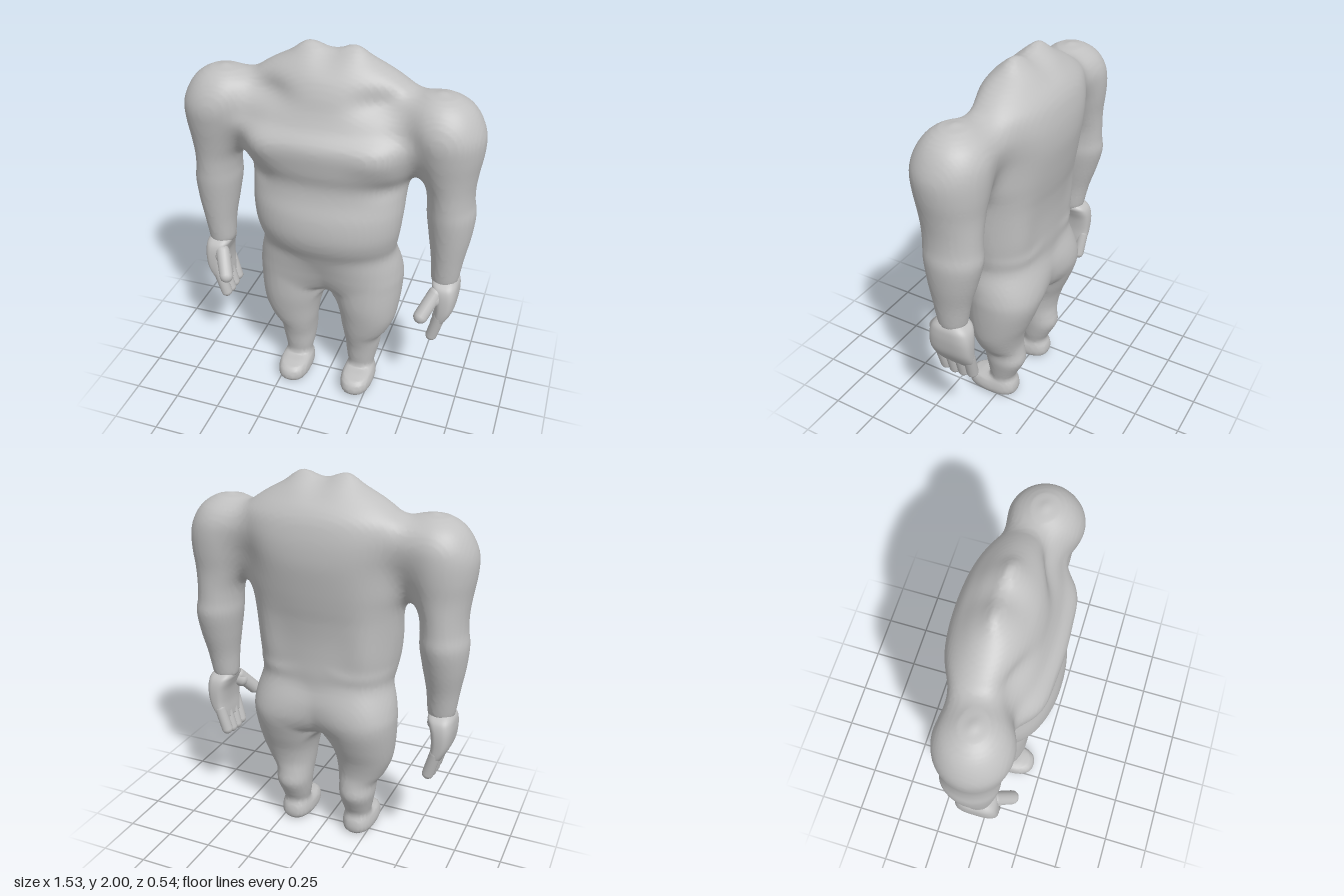
import * as THREE from 'three';

const SIDES = 40;
const STEPS = 5;

// Smooth interpolation between four neighbouring values
function blend(a, b, c, d, t) {
  return 0.5 * (2 * b + (c - a) * t + (2 * a - 5 * b + 4 * c - d) * t * t + (3 * b - a - 3 * c + d) * t * t * t);
}

// Refine a stack of sections [y, centre x, half width, front z, back z], given from bottom to top
function refine(sections) {
  const rows = [];
  const at = (i) => sections[Math.min(Math.max(i, 0), sections.length - 1)];
  for (let i = 0; i < sections.length - 1; i++) {
    for (let s = 0; s < STEPS; s++) {
      rows.push(at(i).map((_, k) => blend(at(i - 1)[k], at(i)[k], at(i + 1)[k], at(i + 2)[k], s / STEPS)));
    }
  }
  rows.push(at(sections.length - 1));
  return rows;
}

function buildGeometry(positions, index) {
  const g = new THREE.BufferGeometry();
  g.setAttribute('position', new THREE.Float32BufferAttribute(positions, 3));
  g.setIndex(index);
  g.computeVertexNormals();
  return g;
}

// Skin a stack of sections directly
function loft(sections, power) {
  const rows = refine(sections);
  const positions = [], index = [];
  const curve = (v) => Math.sign(v) * Math.abs(v) ** (2 / power);
  for (const [y, cx, w, front, back] of rows) {
    for (let j = 0; j < SIDES; j++) {
      const t = (j / SIDES) * Math.PI * 2;
      positions.push(cx + w * curve(Math.cos(t)), y, (front + back) / 2 + ((front - back) / 2) * curve(Math.sin(t)));
    }
  }
  const n = rows.length * SIDES, last = n - SIDES;
  for (const r of [rows[0], rows[rows.length - 1]]) positions.push(r[1], r[0], (r[3] + r[4]) / 2);
  for (let j = 0; j < SIDES; j++) {
    const k = (j + 1) % SIDES;
    for (let a = j, b = k; a < last; a += SIDES, b += SIDES) {
      index.push(a, a + SIDES, b, b, a + SIDES, b + SIDES);
    }
    index.push(n, j, k, n + 1, last + k, last + j);
  }
  return buildGeometry(positions, index);
}

// Signed distance to a stack of sections: negative inside
function distanceTo(sections, power) {
  const rows = refine(sections);
  const bottom = rows[0][0], top = rows[rows.length - 1][0];
  return (x, y, z) => {
    const h = Math.min(Math.max(y, bottom), top);
    let i = 1;
    while (i < rows.length - 1 && rows[i][0] < h) i++;
    const t = (h - rows[i - 1][0]) / (rows[i][0] - rows[i - 1][0]);
    const [, cx, w, front, back] = rows[i].map((v, k) => THREE.MathUtils.lerp(rows[i - 1][k], v, t));
    const dx = Math.abs(x - cx) + 1e-5, dz = Math.abs(z - (front + back) / 2);
    const r = ((dx / w) ** power + (dz / ((front - back) / 2)) ** power) ** (1 / power);
    return Math.max(Math.hypot(dx, dz) * (1 - 1 / r), y - top, bottom - y);
  };
}

// Union of two distances with a soft fillet
function softMin(a, b, k) {
  const h = Math.max(k - Math.abs(a - b), 0) / k;
  return Math.min(a, b) - h * h * k * 0.25;
}

// Smooth skin over the zero level of a distance field: one vertex per crossed cell
function skinField(field, min, size, step) {
  const n = size.map((s) => Math.ceil(s / step) + 1);
  const stride = [1, n[0], n[0] * n[1]];
  const values = new Float32Array(n[0] * n[1] * n[2]);
  const point = (id) => [id % n[0], Math.floor(id / n[0]) % n[1], Math.floor(id / stride[2])];
  for (let id = 0; id < values.length; id++) {
    values[id] = field(...point(id).map((v, a) => min[a] + v * step));
  }
  const positions = [], index = [], vertexOf = new Map();
  const corners = [0, 1, 2, 3, 4, 5, 6, 7].map((c) => [c & 1, (c >> 1) & 1, c >> 2]);
  for (let id = 0; id < values.length; id++) {
    const p = point(id);
    if (p.some((v, a) => v >= n[a] - 1)) continue;
    const sum = [0, 0, 0];
    let count = 0;
    for (const c of corners) {
      const from = id + c[0] * stride[0] + c[1] * stride[1] + c[2] * stride[2];
      for (let a = 0; a < 3; a++) {
        const v0 = values[from], v1 = values[from + stride[a]];
        if (c[a] || v0 < 0 === v1 < 0) continue;
        for (let b = 0; b < 3; b++) sum[b] += c[b] + (b === a ? v0 / (v0 - v1) : 0);
        count++;
      }
    }
    if (!count) continue;
    vertexOf.set(id, positions.length / 3);
    positions.push(...sum.map((s, a) => min[a] + (p[a] + s / count) * step));
  }
  for (const id of vertexOf.keys()) {
    for (let a = 0; a < 3; a++) {
      const inside = values[id] < 0;
      if (inside === values[id + stride[a]] < 0) continue;
      const b = stride[(a + 1) % 3], c = stride[(a + 2) % 3];
      const [q0, q1, q2, q3] = [id - b - c, id - c, id, id - b].map((q) => vertexOf.get(q));
      if (inside) index.push(q0, q1, q2, q0, q2, q3);
      else index.push(q0, q2, q1, q0, q3, q2);
    }
  }
  return buildGeometry(positions, index);
}

// Rounded digit between two points
function digit(from, to, radius) {
  const a = new THREE.Vector3(...from), b = new THREE.Vector3(...to);
  const dir = b.clone().sub(a);
  const g = new THREE.CapsuleGeometry(radius, dir.length(), 8, 16);
  g.applyQuaternion(new THREE.Quaternion().setFromUnitVectors(new THREE.Vector3(0, 1, 0), dir.normalize()));
  const mid = a.add(b).multiplyScalar(0.5);
  return g.translate(mid.x, mid.y, mid.z);
}

// Copy of a geometry on the other side of x = 0
function mirrored(geometry) {
  const g = geometry.clone().scale(-1, 1, 1);
  const idx = g.index.array;
  for (let i = 0; i < idx.length; i += 3) [idx[i + 1], idx[i + 2]] = [idx[i + 2], idx[i + 1]];
  g.computeVertexNormals();
  return g;
}

const bump = (v, centre, size) => Math.exp(-(((v - centre) / size) ** 2));

// Hips, belly, chest and sloping neck muscles
const torso = distanceTo([
  [0.63, 0, 0.05, 0.03, -0.10], [0.66, 0, 0.16, 0.09, -0.16], [0.73, 0, 0.27, 0.135, -0.2],
  [0.82, 0, 0.345, 0.172, -0.213], [0.92, 0, 0.352, 0.212, -0.198], [1.0, 0, 0.37, 0.25, -0.2],
  [1.08, 0, 0.385, 0.268, -0.2], [1.18, 0, 0.395, 0.263, -0.205], [1.28, 0, 0.4, 0.238, -0.218],
  [1.36, 0, 0.41, 0.232, -0.235], [1.45, 0, 0.44, 0.252, -0.252], [1.57, 0, 0.46, 0.26, -0.27],
  [1.65, 0, 0.47, 0.205, -0.272], [1.72, 0, 0.47, 0.172, -0.265], [1.79, 0, 0.44, 0.15, -0.248],
  [1.84, 0, 0.38, 0.128, -0.222], [1.89, 0, 0.303, 0.098, -0.182], [1.94, 0, 0.21, 0.06, -0.14],
  [1.98, 0, 0.158, 0.015, -0.095], [2.003, 0, 0.12, -0.02, -0.065],
], 2.1);

// Forearm, upper arm and round shoulder
const arm = distanceTo([
  [0.80, 0.628, 0.06, 0.07, -0.065], [0.83, 0.628, 0.072, 0.08, -0.075], [0.95, 0.632, 0.085, 0.097, -0.1],
  [1.08, 0.633, 0.107, 0.115, -0.14], [1.2, 0.629, 0.121, 0.13, -0.17], [1.28, 0.622, 0.116, 0.134, -0.166],
  [1.36, 0.615, 0.121, 0.14, -0.165], [1.45, 0.602, 0.143, 0.155, -0.168], [1.55, 0.59, 0.17, 0.175, -0.18],
  [1.64, 0.577, 0.185, 0.187, -0.185], [1.71, 0.562, 0.178, 0.175, -0.178], [1.77, 0.55, 0.152, 0.142, -0.148],
  [1.81, 0.545, 0.108, 0.1, -0.1], [1.835, 0.54, 0.055, 0.05, -0.05], [1.842, 0.54, 0.02, 0.015, -0.015],
], 2);

// Ankle, calf, knee, thigh and buttock
const leg = distanceTo([
  [0.07, 0.187, 0.06, 0.05, -0.07], [0.12, 0.187, 0.071, 0.06, -0.078], [0.18, 0.187, 0.084, 0.07, -0.107],
  [0.26, 0.19, 0.097, 0.082, -0.143], [0.33, 0.19, 0.104, 0.1, -0.134], [0.39, 0.205, 0.128, 0.117, -0.13],
  [0.48, 0.217, 0.154, 0.135, -0.15], [0.58, 0.213, 0.175, 0.15, -0.19], [0.7, 0.204, 0.193, 0.155, -0.23],
  [0.78, 0.2, 0.193, 0.155, -0.228], [0.87, 0.185, 0.165, 0.14, -0.19], [0.95, 0.175, 0.12, 0.1, -0.14],
], 2.1);

// Foot with rounded sole and toe
const foot = distanceTo([
  [0, 0.187, 0.062, 0.168, -0.075], [0.012, 0.187, 0.079, 0.188, -0.09], [0.04, 0.188, 0.091, 0.2, -0.1],
  [0.08, 0.188, 0.087, 0.192, -0.096], [0.1, 0.188, 0.077, 0.165, -0.085], [0.11, 0.187, 0.06, 0.12, -0.07],
], 2.5);

// Body as one skin, with neck notch, chest muscles, collar hollows and broad flat back
function body(x, y, z) {
  const ax = Math.abs(x);
  const front = THREE.MathUtils.smoothstep(z, 0, 0.06);
  const rear = THREE.MathUtils.smoothstep(-z, 0, 0.06);
  const chest = 0.032 * bump(ax, 0.32, 0.13) * bump(y, 1.53, 0.1)
    - 0.04 * bump(ax, 0.27, 0.12) * bump(y, 1.78, 0.06)
    - 0.015 * bump(ax, 0.34, 0.08) * bump(y, 1.35, 0.05);
  const spread = 0.03 * bump(ax, 0.28, 0.1) * bump(y, 1.1, 0.22)
    - 0.02 * bump(ax, 0.36, 0.1) * bump(y, 1.58, 0.18);
  const notch = 0.035 * bump(x, 0, 0.08) * THREE.MathUtils.smoothstep(y, 1.85, 1.97);
  const trunk = torso(x, y + notch, z - front * chest + rear * spread);
  const limb = softMin(leg(ax, y, z), foot(ax, y, z), 0.03);
  return softMin(softMin(trunk, arm(ax, y, z), 0.13), limb, 0.1);
}

export function createModel() {
  const model = new THREE.Group();
  model.name = 'headlessFigure';
  const skin = new THREE.MeshStandardMaterial({ color: 0xc0c0c0 });
  skin.name = 'grey';
  const add = (name, geometry, parent) => {
    const m = new THREE.Mesh(geometry, skin);
    m.name = name;
    parent.add(m);
  };
  add('body', skinField(body, [-0.81, -0.03, -0.33], [1.62, 2.08, 0.66], 0.016), model);

  const hand = {
    // Flat palm
    palm: loft([
      [0.56, 0.617, 0.026, 0.1, -0.093], [0.60, 0.632, 0.038, 0.115, -0.11], [0.66, 0.648, 0.05, 0.122, -0.115],
      [0.73, 0.65, 0.058, 0.12, -0.116], [0.78, 0.642, 0.065, 0.112, -0.108], [0.81, 0.634, 0.066, 0.095, -0.09],
      [0.835, 0.63, 0.05, 0.06, -0.055],
    ], 3),
    // Thumb pointing forward and inward, on a thick base
    thumb: digit([0.6, 0.765, 0.085], [0.548, 0.663, 0.165], 0.038),
    thumbBase: digit([0.625, 0.765, 0.06], [0.592, 0.735, 0.095], 0.043),
  };
  // Four fingers
  [0.487, 0.48, 0.484, 0.495].forEach((tip, i) => {
    const z = 0.088 - i * 0.057;
    hand['finger' + (i + 1)] = digit([0.632, 0.62, z], [0.597, tip, z * 0.92], 0.031);
  });

  for (const side of ['left', 'right']) {
    const group = new THREE.Group();
    group.name = side + 'Hand';
    model.add(group);
    for (const [name, geometry] of Object.entries(hand)) {
      add(side + name[0].toUpperCase() + name.slice(1), side === 'left' ? geometry : mirrored(geometry), group);
    }
  }
  return model;
}
